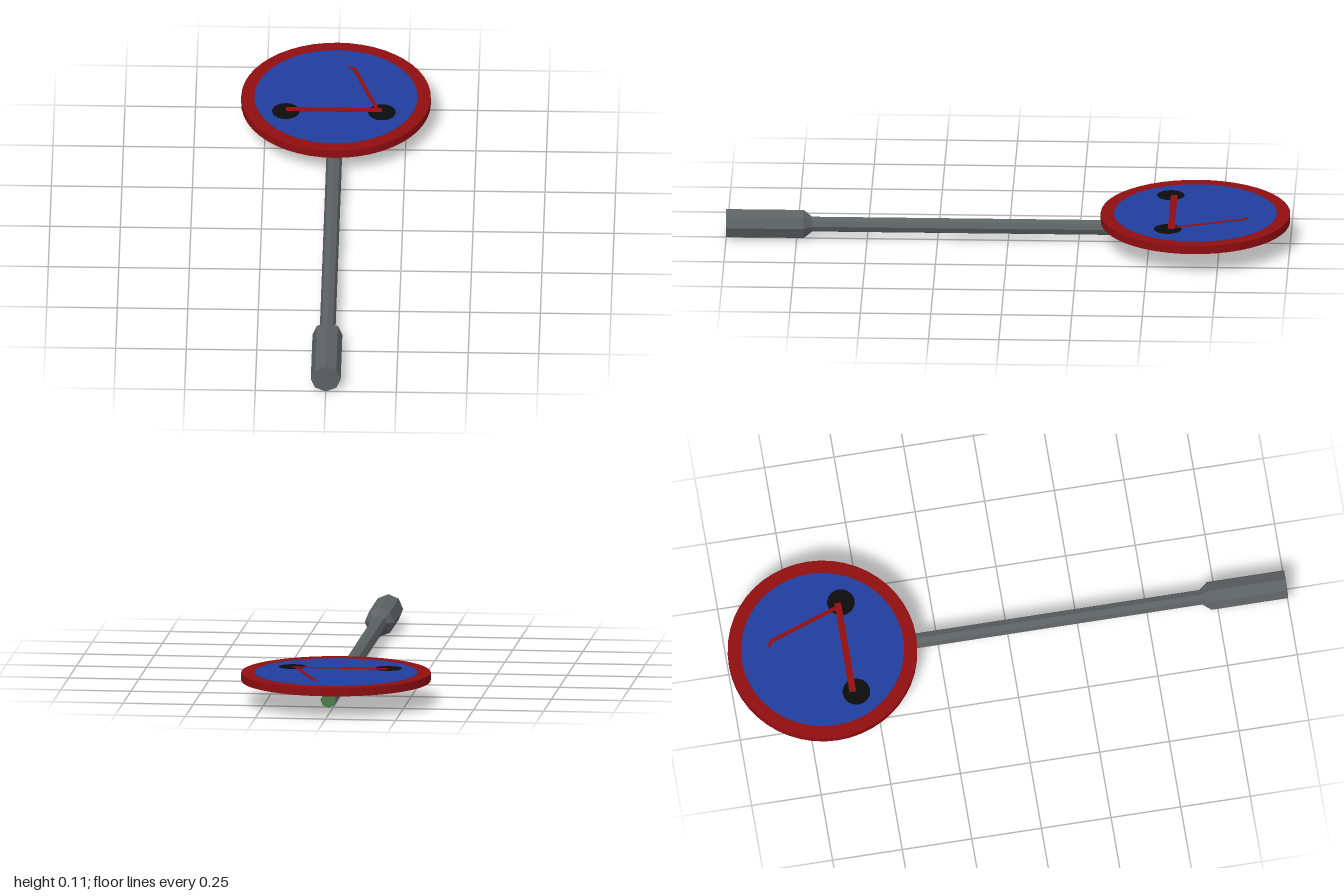
import * as THREE from 'three';

const mat = (name, color) => Object.assign(new THREE.MeshStandardMaterial({ color }), { name });

export function createModel() {
  const red = mat('sign red', 0x8f0d10);
  const blue = mat('sign blue', 0x203d9e);
  const grey = mat('pole grey', 0x5c6161);
  const black = mat('wheel black', 0x0b0b0c);
  const green = mat('cap green', 0x4a7d4c);

  const model = new THREE.Group();
  model.name = 'lyingRoadSign';

  // Faceted mesh helper
  function add(name, geometry, material, x, y, z) {
    const flat = geometry.toNonIndexed();
    flat.computeVertexNormals();
    const mesh = new THREE.Mesh(flat, material);
    mesh.name = name;
    mesh.position.set(x, y, z);
    model.add(mesh);
    return mesh;
  }

  // Eight-sided section lying along z, from z0 (back) to z1 (front)
  const axisY = 0.054;
  function section(name, z0, z1, rBack, rFront, material) {
    const g = new THREE.CylinderGeometry(rFront, rBack, z1 - z0, 8).rotateX(Math.PI / 2);
    return add(name, g, material, 0, axisY, (z0 + z1) / 2);
  }

  // Pole with its green end, and the thicker foot sleeve
  section('pole', -0.908, 0.71, 0.028, 0.028, grey);
  section('poleEndCap', -0.91, -0.908, 0.028, 0.028, green);
  section('sleeveTaper', 0.695, 0.725, 0.028, 0.053, grey);
  section('sleeve', 0.725, 1, 0.053, 0.053, grey);

  // Round sign plate with a blue face inside the red border
  const cz = -0.664;
  add('signPlate', new THREE.CylinderGeometry(0.336, 0.336, 0.029, 48), red, 0, 0.0975, cz);
  add('signFace', new THREE.CylinderGeometry(0.289, 0.289, 0.002, 48), blue, 0, 0.1118, cz);

  // Scooter symbol: wheels
  for (const [name, x] of [['rearWheel', -0.176], ['frontWheel', 0.165]]) {
    add(name, new THREE.CylinderGeometry(0.049, 0.049, 0.002, 20), black, x, 0.1124, -0.571);
  }

  // Scooter symbol: flat bars between two points on the sign face
  function bar(name, [x0, z0], [x1, z1], width) {
    const dx = x1 - x0, dz = z1 - z0;
    const g = new THREE.BoxGeometry(Math.hypot(dx, dz), 0.002, width);
    const mesh = add(name, g, red, (x0 + x1) / 2, 0.1129, (z0 + z1) / 2);
    mesh.rotation.y = -Math.atan2(dz, dx);
  }
  bar('deck', [-0.175, -0.583], [0.165, -0.583], 0.024);
  bar('steeringStem', [0.15, -0.583], [0.06, -0.84], 0.014);
  bar('handlebar', [0.065, -0.84], [0.04, -0.848], 0.01);

  return model;
}
